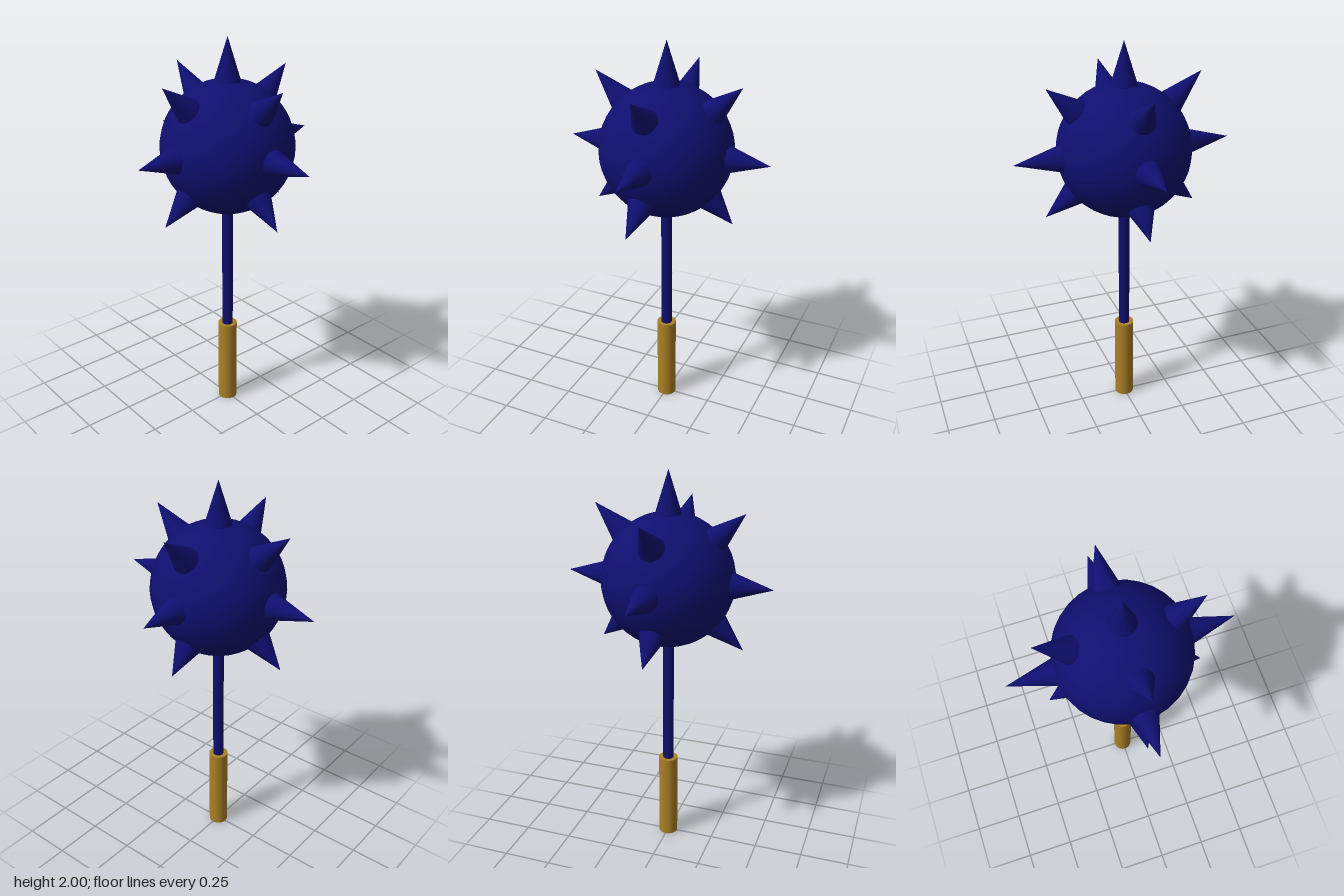
import * as THREE from 'three';

export function createModel() {
  const model = new THREE.Group();
  model.name = 'spikedMace';

  const navy = new THREE.MeshStandardMaterial({ color: 0x0f0f70 });
  navy.name = 'navy metal';
  const gold = new THREE.MeshStandardMaterial({ color: 0xaa8024 });
  gold.name = 'gold grip';

  const add = (name, geometry, material, y, parent = model) => {
    const mesh = new THREE.Mesh(geometry, material);
    mesh.name = name;
    mesh.position.y = y;
    parent.add(mesh);
    return mesh;
  };

  // Grip and shaft
  add('grip', new THREE.CylinderGeometry(0.05, 0.05, 0.467, 32), gold, 0.2335);
  add('shaft', new THREE.CylinderGeometry(0.028, 0.028, 0.76, 24), navy, 0.82);

  // Spiked head
  const head = new THREE.Group();
  head.name = 'head';
  head.position.y = 1.465;
  model.add(head);
  add('ball', new THREE.SphereGeometry(0.332, 32, 24), navy, 0, head);

  // Spike tips, measured from the ball's centre
  const tips = [
    [0, 0.535, 0],
    [0.555, 0, -0.01], [-0.555, 0, -0.01],
    [0, 0, 0.525], [0, 0, -0.53],
    [0.38, 0.345, 0], [-0.4, 0.355, 0],
    [0.4, -0.312, 0.03], [-0.38, -0.325, 0],
    [0, 0.352, 0.378], [0, 0.355, -0.378],
    [0, -0.325, 0.388], [0, -0.335, -0.355],
  ];
  const root = 0.28; // spikes start just inside the ball
  const up = new THREE.Vector3(0, 1, 0);
  for (const tip of tips) {
    const direction = new THREE.Vector3(...tip);
    const reach = direction.length();
    direction.normalize();
    const length = reach - root;
    const radius = 0.065 * length / (reach - 0.325);
    const spike = add('spike', new THREE.ConeGeometry(radius, length, 24), navy, 0, head);
    spike.position.copy(direction).multiplyScalar(root + length / 2);
    spike.quaternion.setFromUnitVectors(up, direction);
  }

  return model;
}
